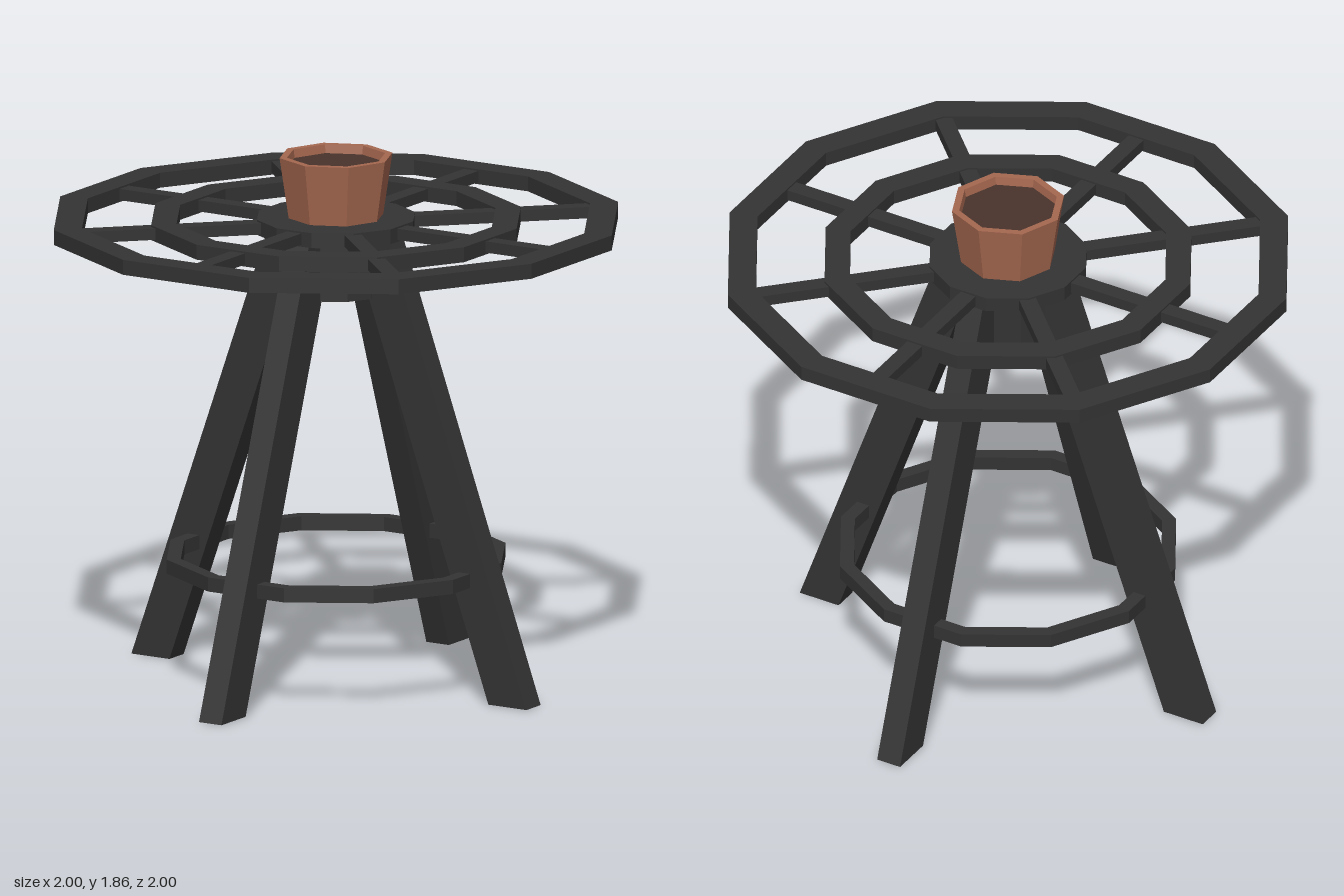
import * as THREE from 'three';

const iron = new THREE.MeshStandardMaterial({ color: 0x333333 });
iron.name = 'charcoal iron';
const clay = new THREE.MeshStandardMaterial({ color: 0xa5674f });
clay.name = 'terracotta';
const soil = new THREE.MeshStandardMaterial({ color: 0x4a342c });
soil.name = 'dark soil';

// Faceted normals
function flat(geometry) {
  const g = geometry.index ? geometry.toNonIndexed() : geometry;
  g.computeVertexNormals();
  return g;
}

function part(name, geometry, material) {
  const mesh = new THREE.Mesh(flat(geometry), material);
  mesh.name = name;
  return mesh;
}

function polygon(radius, sides) {
  return Array.from({ length: sides }, (_, i) => {
    const a = (i / sides) * Math.PI * 2;
    return new THREE.Vector2(radius * Math.cos(a), radius * Math.sin(a));
  });
}

// Flat twelve-sided ring lying between two heights
function ring(name, outer, inner, y0, y1) {
  const shape = new THREE.Shape(polygon(outer, 12));
  shape.holes.push(new THREE.Path(polygon(inner, 12)));
  const g = new THREE.ExtrudeGeometry(shape, { depth: y1 - y0, bevelEnabled: false });
  g.rotateX(-Math.PI / 2).translate(0, y0, 0);
  return part(name, g, iron);
}

// Solid prism between two heights
function prism(name, radius, sides, y0, y1, material) {
  const g = new THREE.CylinderGeometry(radius, radius, y1 - y0, sides);
  g.translate(0, (y0 + y1) / 2, 0);
  return part(name, g, material);
}

export function createModel() {
  const model = new THREE.Group();
  model.name = 'wheelTable';

  // Wheel top
  model.add(ring('outerRim', 1, 0.9, 1.592, 1.645));
  model.add(ring('middleRing', 0.655, 0.565, 1.592, 1.645));
  model.add(prism('hub', 0.28, 12, 1.592, 1.645, iron));
  for (let i = 0; i < 8; i++) {
    const end = i % 2 ? 0.9 : 0.94;
    const g = new THREE.BoxGeometry(end - 0.2, 0.04, 0.06);
    g.translate((end + 0.2) / 2, 1.619, 0).rotateY((i * Math.PI) / 4);
    model.add(part('spoke', g, iron));
  }

  // Post under the hub
  model.add(prism('post', 0.18, 12, 1.38, 1.6, iron));

  // Splayed legs, cut level at floor and top
  const legShape = new THREE.Shape([
    new THREE.Vector2(0.654, 0),
    new THREE.Vector2(0.81, 0),
    new THREE.Vector2(0.243, 1.6),
    new THREE.Vector2(0.087, 1.6),
  ]);
  for (let i = 0; i < 4; i++) {
    const g = new THREE.ExtrudeGeometry(legShape, { depth: 0.092, bevelEnabled: false });
    g.translate(0, 0, -0.046).rotateY(Math.PI / 4 + (i * Math.PI) / 2);
    model.add(part('leg', g, iron));
  }

  // Brace ring tying the legs together
  model.add(ring('braceRing', 0.6, 0.55, 0.405, 0.455));

  // Octagonal pot with soil
  const profile = [[0.167, 1.64], [0.2, 1.86], [0.174, 1.86], [0.167, 1.815]]
    .map(([x, y]) => new THREE.Vector2(x, y));
  model.add(part('pot', new THREE.LatheGeometry(profile, 8), clay));
  model.add(prism('soil', 0.17, 8, 1.80, 1.83, soil));

  return model;
}
